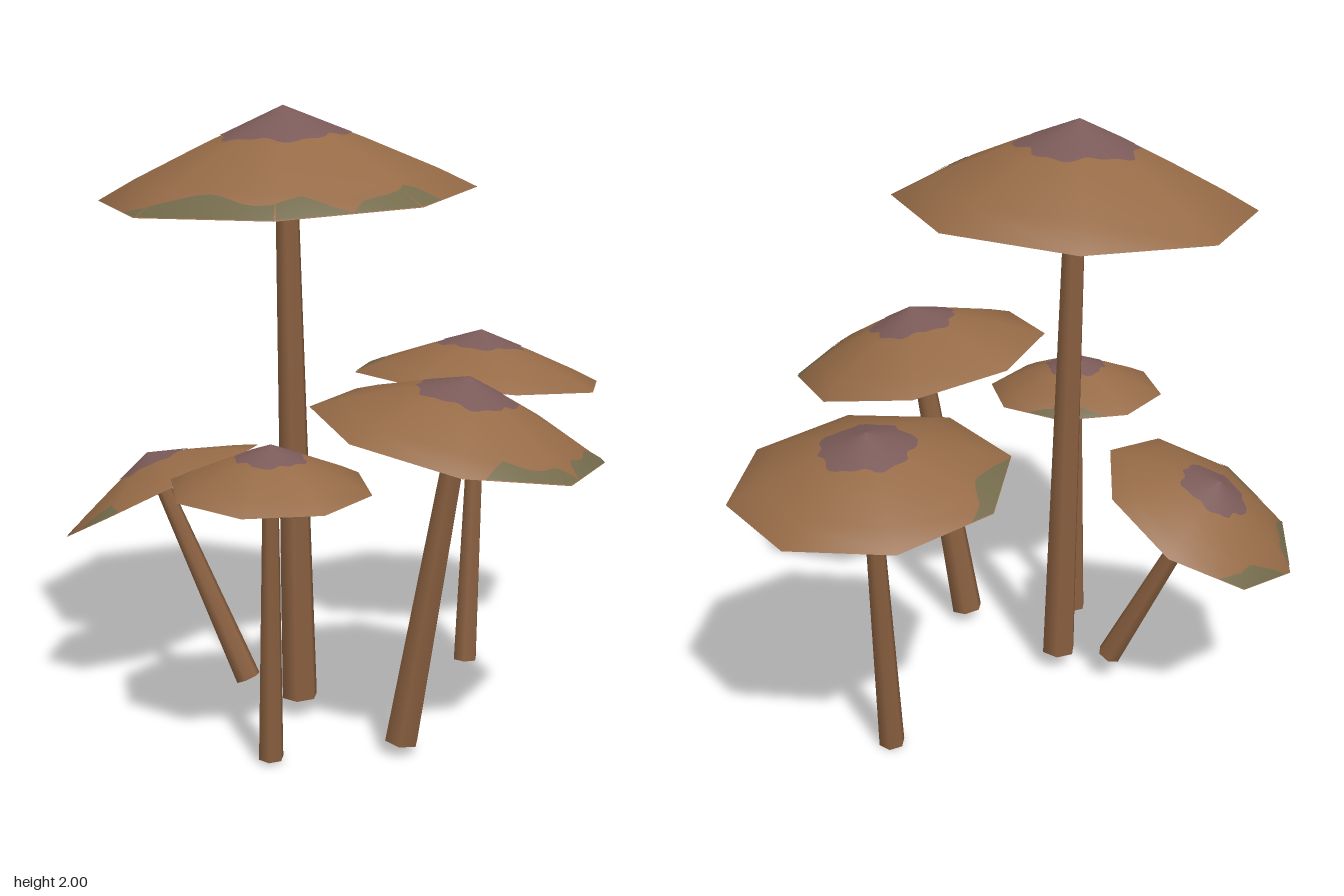
import * as THREE from 'three';

const mat = (name, color, side = THREE.FrontSide) => {
  const m = new THREE.MeshStandardMaterial({ color, side });
  m.name = name;
  return m;
};

const UP = new THREE.Vector3(0, 1, 0);
const RAD = Math.PI / 180;
const SIDES = 8;

// Cap profile: [share of radius, share of height], rim to apex
const PROFILE = [[1, 0], [0.8, 0.23], [0.42, 0.61], [0, 1]];

function profileHeight(t) {
  for (let i = 0; i < PROFILE.length - 1; i++) {
    const [t0, y0] = PROFILE[i], [t1, y1] = PROFILE[i + 1];
    if (t >= t1) return y0 + (y1 - y0) * (t0 - t) / (t0 - t1);
  }
  return 1;
}

// Distance of the octagon's edge in a direction, for a corner radius of 1
function octagon(angle, turn) {
  const step = 360 / SIDES;
  const a = (((angle - turn) % step) + step) % step - step / 2;
  return Math.cos(step / 2 * RAD) / Math.cos(a * RAD);
}

// Soften the cap's normals so they roll outward at the rim
function rollRim(geometry, radius) {
  const p = geometry.attributes.position, n = geometry.attributes.normal;
  const v = new THREE.Vector3();
  for (let i = 0; i < p.count; i++) {
    const t = Math.hypot(p.getX(i), p.getZ(i)) / radius;
    v.fromBufferAttribute(n, i);
    v.y *= 1 - 0.5 * t * t;
    v.normalize();
    n.setXYZ(i, v.x, v.y, v.z);
  }
  return geometry;
}

// Thin coloured patch lying on the cap between two angles and two radius rules
function capPatch({ radius, height, turn }, from, to, inner, outer) {
  const pos = [], nor = [], idx = [], rows = 4;
  const count = Math.ceil((to - from) / 5);
  const n = new THREE.Vector3();
  for (let i = 0; i <= count; i++) {
    const angle = from + (to - from) * i / count;
    const c = Math.cos(angle * RAD), s = Math.sin(angle * RAD);
    const edge = radius * octagon(angle, turn);
    for (let j = 0; j <= rows; j++) {
      const t = inner(angle) + (outer(angle) - inner(angle)) * j / rows;
      pos.push(c * t * edge, height * profileHeight(t) + 0.003, s * t * edge);
      n.set(height * c, radius * (1 - 0.5 * t * t), height * s).normalize();
      nor.push(n.x, n.y, n.z);
      if (i < count && j < rows) {
        const a = i * (rows + 1) + j, b = a + 1, d = a + rows + 1, e = d + 1;
        idx.push(a, d, b, d, e, b);
      }
    }
  }
  const g = new THREE.BufferGeometry();
  g.setAttribute('position', new THREE.Float32BufferAttribute(pos, 3));
  g.setAttribute('normal', new THREE.Float32BufferAttribute(nor, 3));
  g.setIndex(idx);
  return g;
}

export function createModel() {
  const capBrown = mat('cap brown', 0x966b47);
  const crownMauve = mat('crown mauve', 0x7a5a58);
  const rimOlive = mat('rim olive', 0x746b4c, THREE.DoubleSide);
  const gillTan = mat('gill tan', 0x90845f, THREE.DoubleSide);
  const gillBrown = mat('gill brown', 0x653d24, THREE.DoubleSide);
  const stemBrown = mat('stem brown', 0x8a6040);

  const model = new THREE.Group();
  model.name = 'mushroomCluster';

  function add(parent, name, geometry, material) {
    const mesh = new THREE.Mesh(geometry, material);
    mesh.name = name;
    parent.add(mesh);
    return mesh;
  }

  function mushroom(spec) {
    const { name, base, center, axis, radius, height, turn, stem, moss } = spec;
    const group = new THREE.Group();
    group.name = name;
    model.add(group);

    // Cap, tilted along its axis
    const cap = new THREE.Group();
    cap.name = 'cap';
    cap.position.set(...center);
    const dir = new THREE.Vector3(...axis).normalize();
    cap.quaternion.setFromUnitVectors(UP, dir);
    group.add(cap);

    const lathe = (points) => new THREE.LatheGeometry(
      points.map(([r, y]) => new THREE.Vector2(r * radius, y * height)),
      SIDES, -turn * RAD, Math.PI * 2);
    add(cap, 'capTop', rollRim(lathe(PROFILE), radius), capBrown);

    // Shallow hollow underside with a darker middle
    add(cap, 'gills', lathe([[0.36, 0.1], [1, 0]]), gillTan);
    add(cap, 'gillCentre', lathe([[0, 0.15], [0.36, 0.1]]), gillBrown);

    // Crown spot and mossy rim patches with uneven edges
    const crownEdge = (a) => 0.35 + 0.02 * Math.sin(a * 5 * RAD + turn) + 0.012 * Math.sin(a * 11 * RAD);
    add(cap, 'crownSpot', capPatch(spec, 0, 360, () => 0, crownEdge), crownMauve);
    for (const [from, to] of moss) {
      const mossEdge = (a) => {
        const u = (a - from) / (to - from);
        return 1 - Math.min(1, 5 * Math.min(u, 1 - u)) * (0.14 + 0.04 * Math.sin(a * 9 * RAD));
      };
      add(cap, 'rimMoss', capPatch(spec, from, to, mossEdge, () => 1), rimOlive);
    }

    // Tapered stem from the base to the underside
    const start = new THREE.Vector3(...base);
    const end = new THREE.Vector3(...center).addScaledVector(dir, height * 0.2);
    const along = end.clone().sub(start);
    const post = add(group, 'stem',
      new THREE.CylinderGeometry(stem * 0.62, stem, along.length(), 6), stemBrown);
    post.position.copy(start).addScaledVector(along, 0.5);
    post.quaternion.setFromUnitVectors(UP, along.normalize());
  }

  mushroom({
    name: 'tallMushroom', base: [-0.3, 0.07, -0.14], center: [-0.32, 1.73, -0.15],
    axis: [-0.05, 1, -0.01], radius: 0.59, height: 0.27, turn: 9, stem: 0.06,
    moss: [[85, 120], [120, 200]],
  });
  mushroom({
    name: 'frontMushroom', base: [-0.36, 0.05, 0.32], center: [-0.31, 1.05, 0.49],
    axis: [0.08, 1, 0.18], radius: 0.45, height: 0.18, turn: 9, stem: 0.056,
    moss: [[50, 90], [90, 135]],
  });
  mushroom({
    name: 'leftMushroom', base: [0.44, 0.01, 0.02], center: [0.535, 1.028, 0],
    axis: [0.1, 1, 0.01], radius: 0.445, height: 0.165, turn: -5, stem: 0.044,
    moss: [[-138, -85]],
  });
  mushroom({
    name: 'smallMushroom', base: [-0.655, 0.02, 0.035], center: [-0.68, 0.9, 0.07],
    axis: [-0.02, 1, 0.04], radius: 0.31, height: 0.13, turn: 20, stem: 0.04,
    moss: [[-55, 0]],
  });
  mushroom({
    name: 'leaningMushroom', base: [-0.34, 0.1, -0.33], center: [-0.42, 0.725, -0.615],
    axis: [-0.12, 0.89, -0.45], radius: 0.36, height: 0.135, turn: 30, stem: 0.042,
    moss: [[-100, -45], [-150, -110], [160, 195]],
  });

  return model;
}
